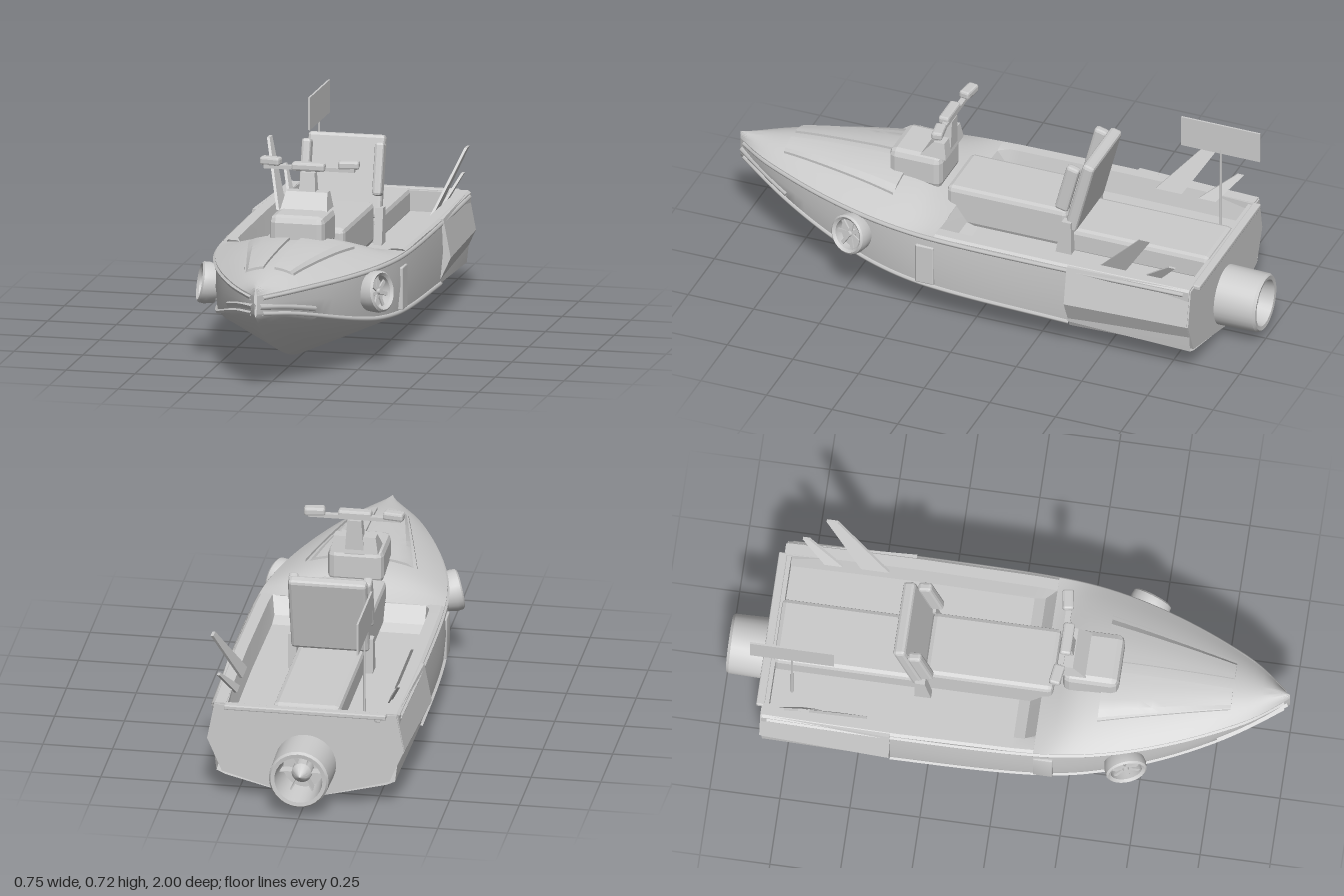
import * as THREE from 'three';
import { toCreasedNormals } from 'three/addons/utils/BufferGeometryUtils.js';
import { RoundedBoxGeometry } from 'three/addons/geometries/RoundedBoxGeometry.js';

const grey = new THREE.MeshStandardMaterial({ color: 0xcccccc, side: THREE.DoubleSide });
const V = (x, y, z) => new THREE.Vector3(x, y, z);

// Hull stations: -z, keel y, chine x, chine y, gunwale x, gunwale y, deck crest y
const stations = [
  [-1.0, 0.285, 0.004, 0.3, 0.005, 0.365, 0.39],
  [-0.9, 0.215, 0.075, 0.285, 0.085, 0.37, 0.405],
  [-0.8, 0.155, 0.135, 0.262, 0.142, 0.37, 0.42],
  [-0.6, 0.075, 0.222, 0.21, 0.23, 0.365, 0.434],
  [-0.4, 0.022, 0.283, 0.167, 0.293, 0.36, 0.437],
  [-0.25, 0.004, 0.315, 0.15, 0.322, 0.357, 0.42],
  [-0.13, 0.002, 0.328, 0.143, 0.333, 0.355, 0.362],
  [0.35, 0.006, 0.335, 0.127, 0.341, 0.355, 0.356],
  [0.84, 0.015, 0.32, 0.1, 0.335, 0.355, 0.356],
];
const spline = new THREE.CubicInterpolant(
  stations.map(s => s[0]), stations.flatMap(s => s.slice(1)), 6, new Float32Array(6));
function station(z) {
  const [keel, cx, cy, gx, gy, crest] = spline.evaluate(-z);
  return { keel, cx, cy, gx, gy, crest };
}
function deckY(x, z) {
  const s = station(z);
  return s.gy + (s.crest - s.gy) * (1 - Math.min(1, (x / s.gx) ** 2));
}
function steps(a, b, n) {
  return Array.from({ length: n + 1 }, (_, i) => a + (b - a) * i / n);
}

// Skin a surface over rows of points
function loft(rows, crease = 0.45) {
  const n = rows[0].length, index = [];
  for (let i = 0; i < rows.length - 1; i++) {
    for (let j = 0; j < n - 1; j++) {
      const a = i * n + j, c = a + n;
      index.push(a, a + 1, c, a + 1, c + 1, c);
    }
  }
  const g = new THREE.BufferGeometry().setFromPoints(rows.flat());
  g.setIndex(index);
  return toCreasedNormals(g, crease);
}
function bend(g, rule) {
  const p = g.attributes.position, v = V(0, 0, 0);
  for (let i = 0; i < p.count; i++) {
    rule(v.fromBufferAttribute(p, i));
    p.setXYZ(i, v.x, v.y, v.z);
  }
  return g;
}
function mirrored(g) {
  const m = g.index ? g.toNonIndexed() : g.clone(), p = m.attributes.position;
  for (let i = 0; i < p.count; i += 3) {
    const t = [0, 1, 2].map(k => V(-p.getX(i + k), p.getY(i + k), p.getZ(i + k)));
    [t[0], t[2], t[1]].forEach((v, k) => p.setXYZ(i + k, v.x, v.y, v.z));
  }
  return toCreasedNormals(m, 0.45);
}
function add(parent, name, g, x = 0, y = 0, z = 0) {
  const m = new THREE.Mesh(g, grey);
  m.name = name;
  m.position.set(x, y, z);
  parent.add(m);
  return m;
}
function pair(parent, name, g) {
  add(parent, name + 'Left', g);
  add(parent, name + 'Right', mirrored(g));
}
function block(w, h, d, r = 0.012) {
  return toCreasedNormals(new RoundedBoxGeometry(w, h, d, 1, r), 0.2);
}
// Box whose top face is resized and shifted in z
function taper(w, h, d, topW, topD, shift = 0) {
  return toCreasedNormals(bend(new THREE.BoxGeometry(w, h, d), v => {
    if (v.y > 0) v.set(v.x * topW / w, v.y, v.z * topD / d + shift);
  }), 0.2);
}
function extrude(points, depth) {
  const shape = new THREE.Shape(points.map(p => new THREE.Vector2(...p)));
  return new THREE.ExtrudeGeometry(shape, { depth, bevelEnabled: false });
}
function lathe(points, n = 28) {
  return toCreasedNormals(new THREE.LatheGeometry(points.map(p => new THREE.Vector2(...p)), n), 0.5);
}
function rail(zs, point, r) {
  const path = new THREE.CatmullRomCurve3(zs.map(z => point(station(z), z)));
  return new THREE.TubeGeometry(path, 48, r, 5);
}

export function createModel() {
  const boat = new THREE.Group();
  boat.name = 'jetBoat';

  // Hull bottom and topsides
  add(boat, 'hull', loft(steps(1, -0.84, 46).map(z => {
    const s = station(z), mx = (s.cx + s.gx) / 2 + 0.008 * Math.min(1, s.gx / 0.2);
    const half = [[s.gx, s.gy], [mx, (s.cy + s.gy) / 2], [s.cx, s.cy],
      [s.cx * 0.9, s.keel + (s.cy - s.keel) * 0.83], [s.cx * 0.45, s.keel + (s.cy - s.keel) * 0.4]];
    return [...half, [0, s.keel], ...half.map(p => [-p[0], p[1]]).reverse()].map(p => V(p[0], p[1], z));
  })));

  // Domed foredeck and open cockpit well
  add(boat, 'foredeck', loft(steps(1, 0.13, 26).map(z => {
    const w = station(z).gx;
    return steps(-w, w, 16).map(x => V(x, deckY(x, z), z));
  })));
  add(boat, 'cockpit', loft([0.13, 0.09, 0.05, -0.35, -0.6, -0.84].map((z, i) => {
    const w = station(z).gx, floor = [0.357, 0.3, 0.28][Math.min(i, 2)];
    const half = [[w, 0.355], [w - 0.01, 0.362], [w - 0.05, 0.362], [w - 0.065, floor]];
    return [...half.map(p => [-p[0], p[1]]), ...half.reverse()].map(p => V(p[0], p[1], z));
  })));

  // Raised foredeck hatches
  pair(boat, 'foredeckHatch', loft([0.8, ...steps(0.8, 0.34, 10), 0.34].map((z, i, all) => {
    const outer = 0.09 + 0.11 * (0.8 - z) / 0.46, end = i === 0 || i === all.length - 1;
    const xs = steps(0.02, outer, 5);
    return [xs[0], ...xs, outer].map((x, j) =>
      V(x, deckY(x, z) + (end || j === 0 || j === 6 ? -0.005 : 0.009), z));
  }), 0.3));

  // Chine strakes, rub rails and bow bumpers
  pair(boat, 'chineStrake', rail(steps(0.98, -0.38, 14), (s, z) => V(s.cx + 0.002, s.cy, z), 0.008));
  pair(boat, 'rubRail', rail(steps(0.98, -0.82, 16), (s, z) => V(s.gx, s.gy - 0.012, z), 0.008));
  pair(boat, 'bowBumper', rail(steps(0.99, 0.76, 6), (s, z) => V(s.cx, s.cy + 0.025, z), 0.012));
  pair(boat, 'sideVent', block(0.02, 0.155, 0.07, 0.004).translate(0.331, 0.233, 0.165));

  // Rear side armour, narrowing toward the stern
  const armour = extrude([[0.3, 0.36], [0.347, 0.36], [0.374, 0.22], [0.318, 0.1], [0.29, 0.11]], 0.46);
  bend(armour.translate(0, 0, -0.84), v => { v.x -= 0.02 * (-0.38 - v.z) / 0.46; });
  pair(boat, 'sideArmour', toCreasedNormals(armour, 0.2));

  // Transom and its top trim
  add(boat, 'transom', extrude([[-0.325, 0.355], [-0.352, 0.22], [-0.3, 0.1], [0, 0.015],
    [0.3, 0.1], [0.352, 0.22], [0.325, 0.355]], 0.025), 0, 0, -0.845);
  add(boat, 'transomTrim', block(0.58, 0.018, 0.03, 0.004), 0, 0.352, -0.85);

  // Jet nozzle with hub and blades
  const jet = new THREE.Group();
  jet.name = 'jetNozzle';
  jet.position.set(0, 0.15, -0.84);
  jet.rotation.x = -Math.PI / 2;
  boat.add(jet);
  add(jet, 'nozzleShell', lathe([[0, 0.04], [0.074, 0.04], [0.086, 0.158], [0.1, 0.16], [0.107, 0.15], [0.11, 0]]));
  add(jet, 'nozzleHub', lathe([[0.036, 0.04], [0.036, 0.09], [0.022, 0.115], [0, 0.135]], 16));
  for (let i = 0; i < 6; i++) {
    const blade = add(jet, 'nozzleBlade', new THREE.BoxGeometry(0.05, 0.04, 0.005).translate(0.055, 0.07, 0));
    blade.rotation.y = i * Math.PI / 3;
  }

  // Side thrusters mounted on the bow flanks
  for (const side of [1, -1]) {
    const fan = new THREE.Group();
    fan.name = side > 0 ? 'thrusterLeft' : 'thrusterRight';
    fan.position.set(side * 0.306, 0.278, 0.455);
    fan.quaternion.setFromUnitVectors(V(0, 1, 0), V(side * 0.9, 0.16, 0.32).normalize());
    boat.add(fan);
    add(fan, 'thrusterRing', lathe([[0.055, -0.03], [0.068, -0.03], [0.075, 0.005], [0.073, 0.024],
      [0.066, 0.03], [0.056, 0.022], [0.055, -0.03]], 24));
    add(fan, 'thrusterBack', new THREE.CylinderGeometry(0.056, 0.056, 0.006, 24), 0, -0.012, 0);
    add(fan, 'thrusterHub', new THREE.CylinderGeometry(0.01, 0.015, 0.03, 10), 0, 0.005, 0);
    for (let i = 0; i < 7; i++) {
      const spoke = add(fan, 'thrusterBlade', new THREE.BoxGeometry(0.046, 0.006, 0.013).translate(0.033, 0.008, 0));
      spoke.rotation.y = i * Math.PI * 2 / 7;
    }
  }

  // Seat base, rear bench and tilted backrest
  add(boat, 'seat', block(0.24, 0.15, 0.46, 0.018), 0, 0.357, -0.06);
  add(boat, 'rearBench', block(0.24, 0.1, 0.54, 0.018), 0, 0.315, -0.56);
  const back = new THREE.Group();
  back.name = 'backrest';
  back.position.set(0, 0.365, -0.305);
  back.rotation.x = -0.25;
  boat.add(back);
  add(back, 'backPanel', block(0.28, 0.295, 0.045), 0, 0.15, 0);
  for (const side of [-1, 1]) {
    add(back, 'backBolster', block(0.034, 0.19, 0.05, 0.01), side * 0.133, 0.175, 0.05);
    add(boat, 'seatBracket', taper(0.03, 0.13, 0.06, 0.03, 0.035, -0.01), side * 0.137, 0.345, -0.29);
  }

  // Steering console, column and handlebar
  add(boat, 'console', block(0.2, 0.13, 0.2, 0.025), 0, 0.455, 0.3);
  add(boat, 'dash', taper(0.17, 0.06, 0.1, 0.15, 0.04, -0.02), 0, 0.545, 0.235);
  add(boat, 'column', taper(0.07, 0.13, 0.055, 0.05, 0.035, -0.012), 0, 0.575, 0.215);
  add(boat, 'handlebarClamp', block(0.12, 0.03, 0.04, 0.008), 0, 0.66, 0.205);
  add(boat, 'handlebar', new THREE.BoxGeometry(0.33, 0.014, 0.02), 0, 0.652, 0.195);
  for (const side of [-1, 1]) {
    const grip = add(boat, 'grip', block(0.075, 0.03, 0.04, 0.008), side * 0.142, 0.67, 0.188);
    grip.rotation.y = side * 0.15;
  }

  // Swept stern fins leaning outward
  const fin = (points, lean) => toCreasedNormals(bend(
    extrude(points, 0.01).rotateY(-Math.PI / 2), v => { v.x += 0.29 + lean * (v.y - 0.36); }), 0.2);
  pair(boat, 'largeFin', fin([[-0.47, 0.34], [-0.57, 0.34], [-0.705, 0.555], [-0.665, 0.555]], 0.38));
  pair(boat, 'smallFin', fin([[-0.635, 0.34], [-0.7, 0.34], [-0.785, 0.44], [-0.76, 0.44]], 0.48));

  // Flag mast
  add(boat, 'flagPole', new THREE.CylinderGeometry(0.004, 0.005, 0.34, 8), -0.195, 0.45, -0.75);
  add(boat, 'flagBoard', new THREE.BoxGeometry(0.007, 0.118, 0.3), -0.195, 0.663, -0.75);
  add(boat, 'sternCleat', block(0.02, 0.025, 0.02, 0.004), -0.26, 0.345, -0.852);
  return boat;
}
